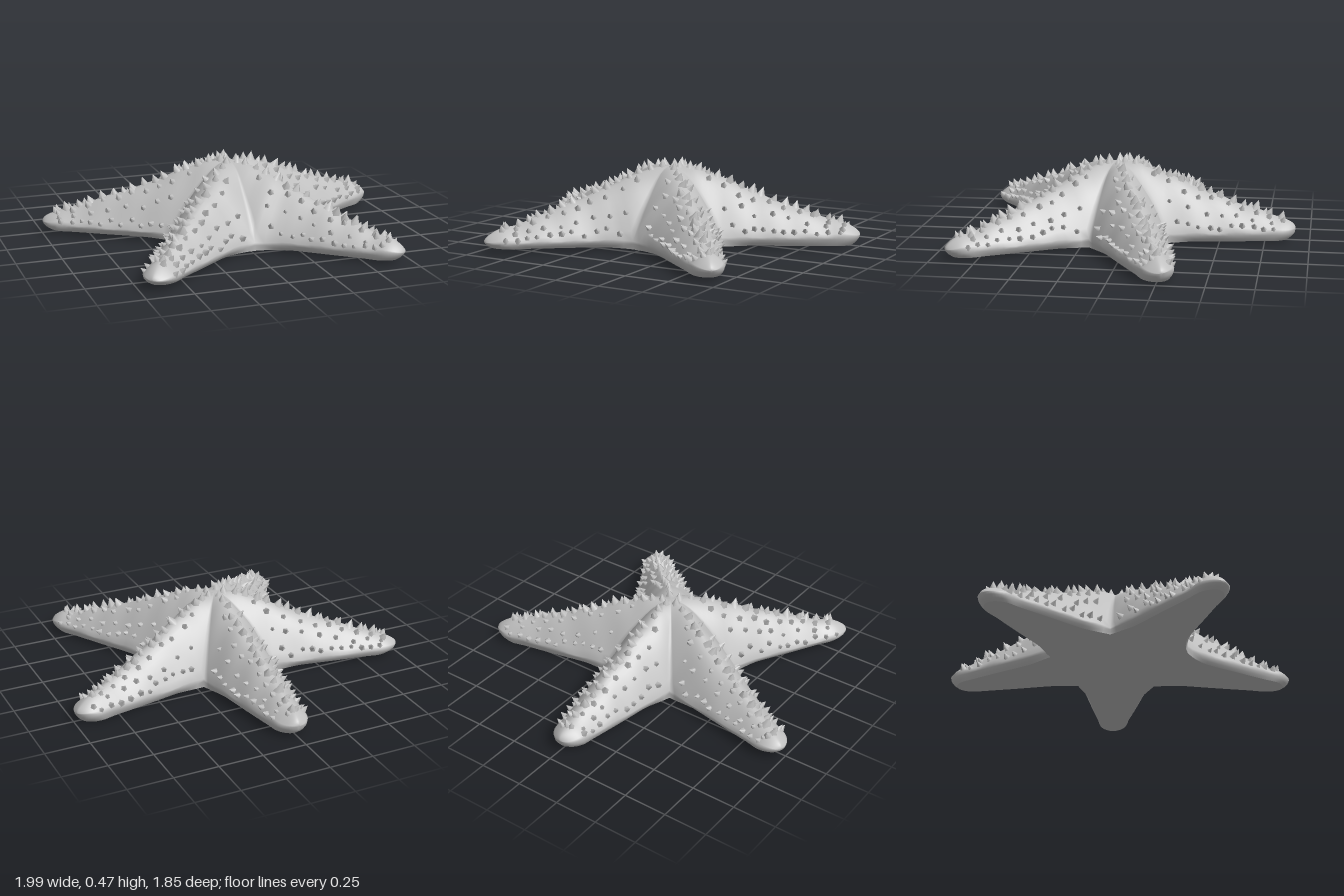
import * as THREE from 'three';
import { mergeGeometries, mergeVertices } from 'three/addons/utils/BufferGeometryUtils.js';

const CENTER_Z = 0.1, NOTCH = 0.315, RIM = 0.07;
const deg = Math.PI / 180;

// arm directions (clockwise from the back), lengths and half angles to the neighbours
const ARMS = [
  { angle: 0, length: 1.02, before: 34.5, after: 34.5 },
  { angle: 69, length: 1.06, before: 34.5, after: 35.25 },
  { angle: 139.5, length: 1.07, before: 35.25, after: 40.5 },
  { angle: 220.5, length: 1.07, before: 40.5, after: 35.25 },
  { angle: 291, length: 1.06, before: 35.25, after: 34.5 },
];
const WIDTH = [[0.315, 0.228], [0.5, 0.18], [0.7, 0.142], [0.9, 0.1], [1.1, 0.075]];
const RIDGE = [[0, 0.435], [0.15, 0.415], [0.3, 0.36], [0.5, 0.28], [0.7, 0.21], [0.9, 0.145], [1.1, 0.11]];

function sample(table, s) {
  for (let i = 1; i < table.length; i++) {
    const [a, p] = table[i - 1], [b, q] = table[i];
    if (s <= b) return p + (q - p) * Math.max(0, (s - a) / (b - a));
  }
  return table[table.length - 1][1];
}

function random(seed) {
  return () => {
    seed = (seed * 16807) % 2147483647;
    return seed / 2147483647;
  };
}

// rounds off the last part of an arm
function cap(arm, s) {
  const t = Math.max(0, (s - arm.length + 0.1) / 0.1);
  return Math.sqrt(Math.max(0, 1 - t * t));
}

function halfWidth(arm, s, v) {
  const slope = Math.tan((v < 0 ? arm.before : arm.after) * deg);
  if (s <= NOTCH) return s * slope;
  const extra = NOTCH * slope - sample(WIDTH, NOTCH);
  return (sample(WIDTH, s) + extra * Math.exp((NOTCH - s) / 0.08)) * cap(arm, s);
}

// s runs along the arm, across runs sideways
function place(arm, s, across, y) {
  const a = arm.angle * deg;
  return new THREE.Vector3(
    Math.sin(a) * s + Math.cos(a) * across, y,
    CENTER_Z - Math.cos(a) * s + Math.sin(a) * across);
}

function topPoint(arm, s, v) {
  const t = Math.min(1, s / NOTCH);
  const edge = RIM + (0.435 - RIM) * (1 - t ** 1.7);
  const crest = edge + (sample(RIDGE, s) - edge) * cap(arm, s);
  const p = place(arm, s, v * halfWidth(arm, s, v), edge + (crest - edge) * (1 - Math.abs(v) ** 1.6));
  p.y += 0.006 * Math.sin(p.x * 23 + 1) * Math.sin(p.z * 27 + 2);
  return p;
}

// tuck pulls the point in towards the flat underside, 1 being the sole itself
function lowerPoint(arm, s, v, tuck) {
  const t = THREE.MathUtils.clamp((s - NOTCH) / (arm.length - NOTCH), 0, 1);
  const inset = Math.min(1, t * 5) * tuck * tuck;
  const p = place(arm, s - 0.04 * t * tuck * tuck, v * halfWidth(arm, s, v) * (1 - 0.13 * inset), 0);
  const sole = 0.021 - 0.009 * p.x + 0.007 * p.z - 0.016 * Math.max(0, 1 - s / 0.3);
  p.y = RIM + (sole - RIM) * tuck;
  return p;
}

function rowsOf(arm) {
  const rows = [];
  for (let i = 0; i <= 10; i++) rows.push(NOTCH * i / 10);
  for (let i = 1; i <= 28; i++) rows.push(NOTCH + (arm.length - NOTCH) * Math.sin(i / 28 * Math.PI / 2));
  return rows;
}

// joins point rows into one smooth sheet
function addSheet(out, grid, flip) {
  for (let i = 0; i + 1 < grid.length; i++) {
    for (let j = 0; j + 1 < grid[i].length; j++) {
      const a = grid[i][j], b = grid[i][j + 1], c = grid[i + 1][j + 1], d = grid[i + 1][j];
      const corners = flip ? [a, c, b, a, d, c] : [a, b, c, a, c, d];
      for (const p of corners) out.push(p.x, p.y, p.z);
    }
  }
}

function smoothGeometry(positions) {
  const g = new THREE.BufferGeometry();
  g.setAttribute('position', new THREE.Float32BufferAttribute(positions, 3));
  const merged = mergeVertices(g, 1e-4);
  merged.computeVertexNormals();
  return merged;
}

// pointed bumps along the ridge, the flanks and the rim of an arm
function armSpikes(arm, seed) {
  const rnd = random(seed), cones = [], up = new THREE.Vector3(0, 1, 0);
  const lines = [
    { v: 0, from: 0.05, step: 0.062, size: 1 },
    { v: 0.28, from: 0.22, step: 0.085, size: 0.85 },
    { v: 0.6, from: 0.32, step: 0.09, size: 0.75 },
    { v: 0.86, from: 0.37, step: 0.06, size: 0.8 },
  ];
  for (const line of lines) {
    for (const side of line.v ? [-1, 1] : [1]) {
      for (let s = line.from; s < arm.length - 0.07; s += line.step * (0.8 + 0.4 * rnd())) {
        const v = side * line.v + (rnd() - 0.5) * 0.14;
        const p = topPoint(arm, s, v), e = 0.01;
        const across = topPoint(arm, s, v + e).sub(topPoint(arm, s, v - e));
        const along = topPoint(arm, s + e, v).sub(topPoint(arm, s - e, v));
        const normal = across.cross(along).normalize();
        const size = line.size * (0.8 + 0.4 * rnd());
        const cone = new THREE.ConeGeometry(0.028 * size, 0.052 * size, 5, 1, true);
        cone.rotateY(rnd() * 6);
        cone.translate(0, 0.014 * size, 0);
        cone.applyQuaternion(new THREE.Quaternion().setFromUnitVectors(up, normal));
        cone.translate(p.x, p.y, p.z);
        cones.push(cone);
      }
    }
  }
  return mergeGeometries(cones);
}

export function createModel() {
  const model = new THREE.Group();
  model.name = 'starfish';
  const skin = new THREE.MeshStandardMaterial({ color: 0xc0c0c0 });
  skin.name = 'grey skin';
  const add = (name, geometry) => {
    const mesh = new THREE.Mesh(geometry, skin);
    mesh.name = name;
    model.add(mesh);
  };

  const upper = [], under = [], N = 18;
  const across = Array.from({ length: N + 1 }, (_, j) => -1 + 2 * j / N);
  ARMS.forEach((arm, k) => {
    const rows = rowsOf(arm);
    addSheet(upper, rows.map(s => across.map(v => topPoint(arm, s, v))), false);

    // rounded rim down to the sole, beyond the notches only
    const outer = rows.slice(10);
    const tucks = [0.35, 0.7, 1];
    for (const v of [-1, 1]) {
      addSheet(upper, outer.map(s =>
        [topPoint(arm, s, v), ...tucks.map(t => lowerPoint(arm, s, v, t))]), v < 0);
    }
    addSheet(under, rows.map(s => across.map(v => lowerPoint(arm, s, v, 1))), true);
    add('armSpikes' + (k + 1), armSpikes(arm, 71 + k * 913));
  });
  add('body', smoothGeometry(upper));
  add('underside', smoothGeometry(under));
  return model;
}
